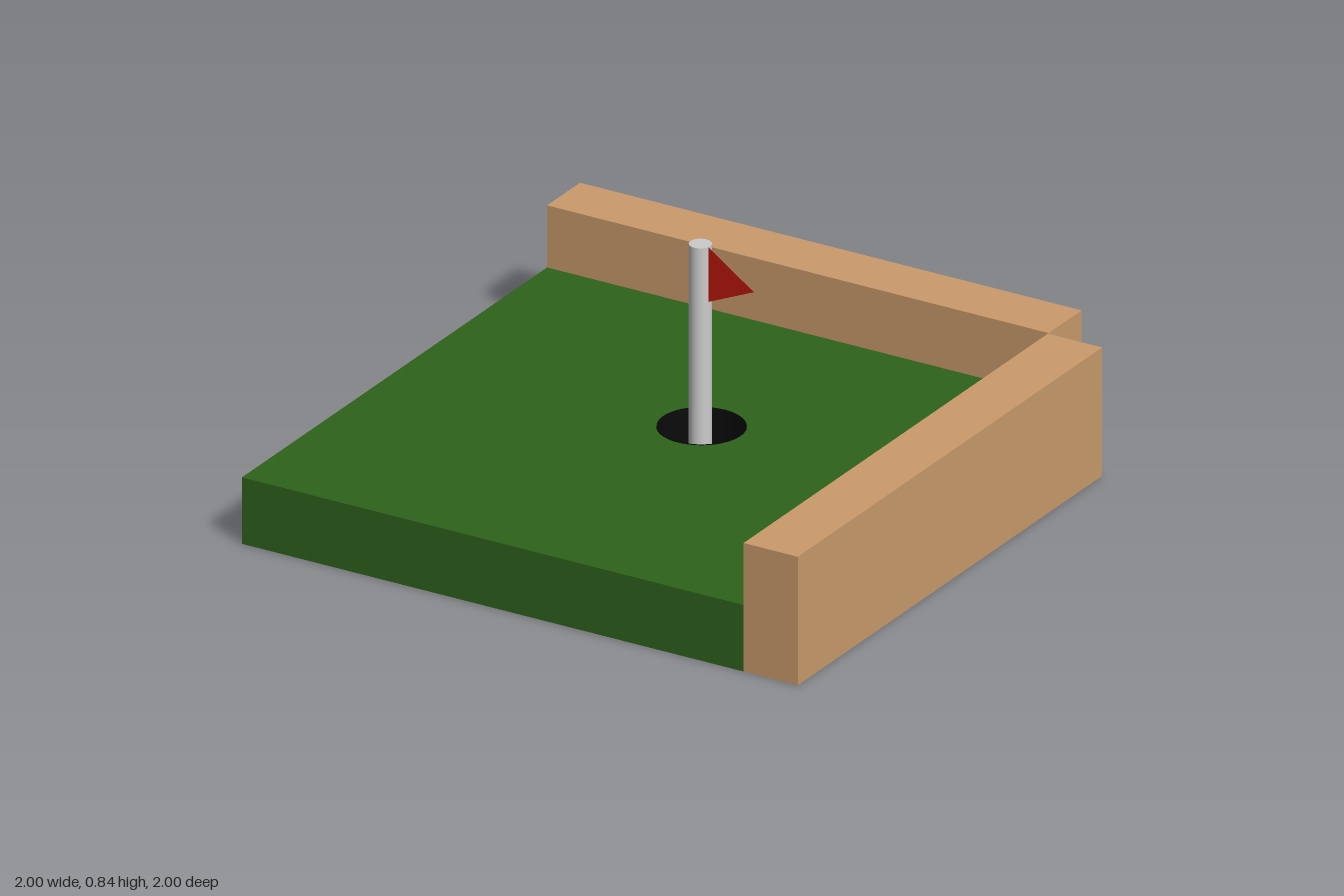
import * as THREE from 'three';

const mat = (color, extra = {}) => new THREE.MeshStandardMaterial({ color, ...extra });

function add(parent, name, geometry, material, x = 0, y = 0, z = 0) {
  const mesh = new THREE.Mesh(geometry, material);
  mesh.name = name;
  mesh.position.set(x, y, z);
  parent.add(mesh);
  return mesh;
}

export function createModel() {
  const group = new THREE.Group();
  group.name = 'golfHoleTile';

  const green = mat(0x2f621b);
  const wood = mat(0xca9b6b);
  const black = mat(0x0b0b0b, { side: THREE.DoubleSide });

  const turfTop = 0.225, wallTop = 0.435, inner = 0.805, t = 1 - inner;
  const holeX = 0.012, holeZ = -0.055, holeR = 0.14, floorY = 0.08;

  // Turf block with the cup cut through it (shape y becomes -z)
  const turf = new THREE.Shape([
    new THREE.Vector2(-1, -1), new THREE.Vector2(inner, -1),
    new THREE.Vector2(inner, inner), new THREE.Vector2(-1, inner),
  ]);
  turf.holes.push(new THREE.Path().absarc(holeX, -holeZ, holeR, 0, Math.PI * 2, true));
  const turfGeo = new THREE.ExtrudeGeometry(turf, { depth: turfTop, bevelEnabled: false, curveSegments: 32 });
  turfGeo.rotateX(-Math.PI / 2);
  add(group, 'turf', turfGeo, green);

  // Plug closing the underside of the cup
  const plugH = floorY - 0.005;
  add(group, 'turfPlug', new THREE.CylinderGeometry(holeR, holeR, plugH, 32), green, holeX, plugH / 2, holeZ);

  // Dark cup lining: floor and wall in one profile
  const cup = [[0, floorY], [holeR - 0.002, floorY], [holeR - 0.002, floorY], [holeR - 0.002, turfTop + 0.002]]
    .map(([r, y]) => new THREE.Vector2(r, y));
  add(group, 'cup', new THREE.LatheGeometry(cup, 32), black, holeX, 0, holeZ);

  // Wooden borders along the back and the left side
  add(group, 'backBorder', new THREE.BoxGeometry(1 + inner, wallTop, t), wood,
    (inner - 1) / 2, wallTop / 2, -1 + t / 2);
  add(group, 'leftBorder', new THREE.BoxGeometry(t, wallTop, 1 + inner - 0.005), wood,
    1 - t / 2, wallTop / 2, (1 - inner + 0.005) / 2);

  // Flagpole standing on the cup floor
  const poleTop = 0.845, poleH = poleTop - floorY;
  add(group, 'flagpole', new THREE.CylinderGeometry(0.036, 0.036, poleH, 32), mat(0xcccccc),
    0.011, floorY + poleH / 2, -0.05);

  // Triangular pennant, turned slightly forward
  const pennant = new THREE.Shape([
    new THREE.Vector2(0, -0.092), new THREE.Vector2(0.19, 0), new THREE.Vector2(0, 0.092),
  ]);
  const flag = add(group, 'flag', new THREE.ShapeGeometry(pennant),
    mat(0xcc1a0d, { side: THREE.DoubleSide }), 0.045, 0.751, -0.042);
  flag.rotation.y = -0.2;

  return group;
}
